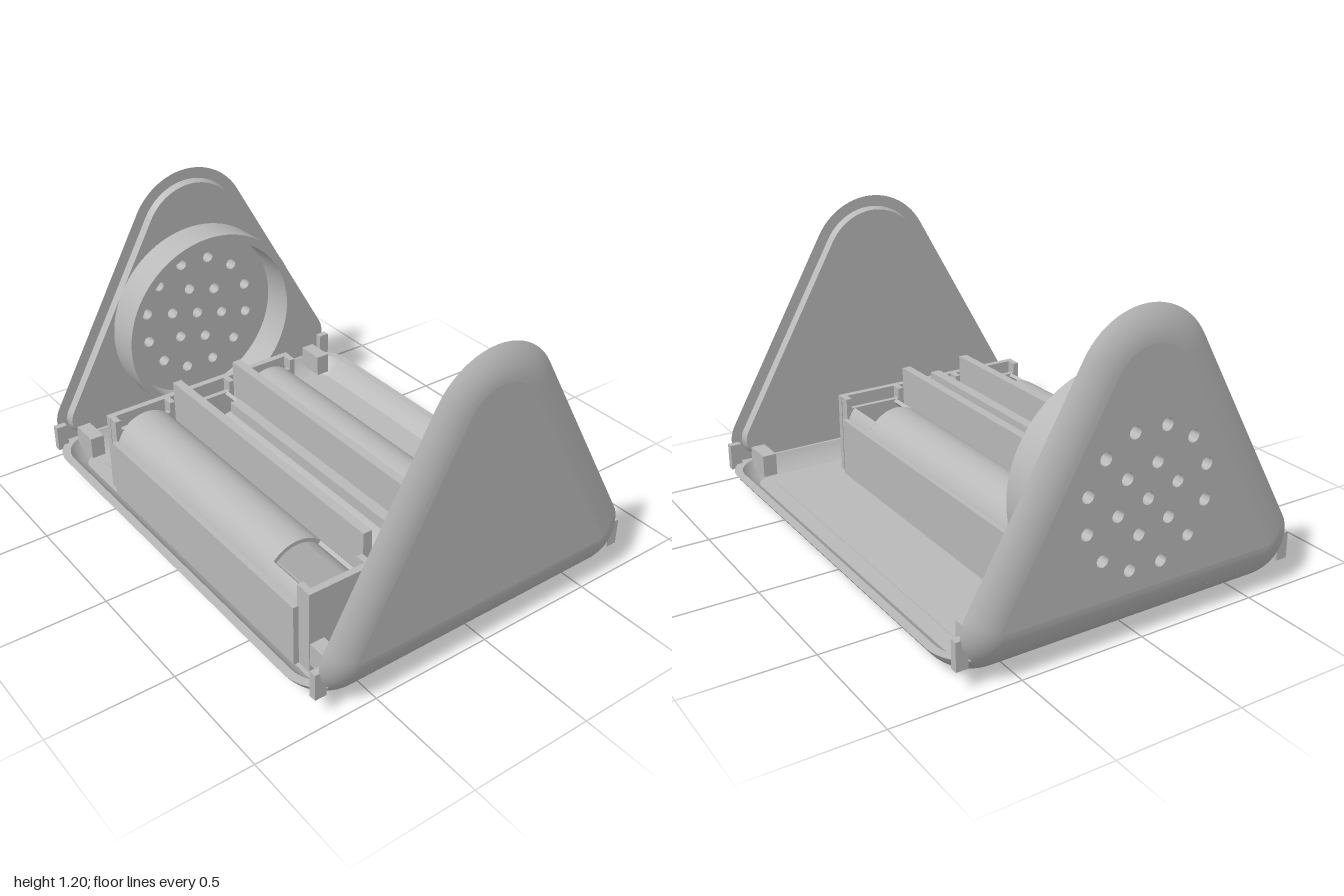
import * as THREE from 'three';
import { toCreasedNormals } from 'three/addons/utils/BufferGeometryUtils.js';

const R = 0.2; // edge rounding of the whole case
const bodyGrey = new THREE.MeshStandardMaterial({ color: 0xb9b9b9, side: THREE.DoubleSide });
bodyGrey.name = 'body grey';

function add(parent, name, geometry) {
  const mesh = new THREE.Mesh(geometry, bodyGrey);
  mesh.name = name;
  parent.add(mesh);
  return mesh;
}

// Box given by its limits on each axis
function block(parent, name, x0, x1, y0, y1, z0, z1) {
  const g = new THREE.BoxGeometry(x1 - x0, y1 - y0, z1 - z0);
  g.translate((x0 + x1) / 2, (y0 + y1) / 2, (z0 + z1) / 2);
  return add(parent, name, g);
}

// Skin over closed rings with equal point counts
function loft(rings) {
  const n = rings[0].length, pos = [], idx = [];
  rings.forEach(r => r.forEach(p => pos.push(...p)));
  for (let i = 0; i < rings.length - 1; i++) {
    for (let j = 0; j < n; j++) {
      const k = (j + 1) % n, a = i * n + j, b = i * n + k;
      idx.push(a, a + n, b, b, a + n, b + n);
    }
  }
  const g = new THREE.BufferGeometry();
  g.setAttribute('position', new THREE.Float32BufferAttribute(pos, 3));
  g.setIndex(idx);
  return toCreasedNormals(g, 0.6);
}

function arc(cx, cy, r, a0, a1, n = 16) {
  return Array.from({ length: n + 1 }, (_, i) => {
    const a = a0 + (a1 - a0) * i / n;
    return [cx + r * Math.cos(a), cy + r * Math.sin(a)];
  });
}

// Rounded triangle of the case, inset by d, as [z, y] points
function triangle(d) {
  const tilt = 0.512, r = R - d;
  return [
    ...arc(0.575, 0.2, r, -Math.PI / 2, tilt),
    ...arc(0, 0.91, 0.353 - d, tilt, Math.PI - tilt, 24),
    ...arc(-0.575, 0.2, r, Math.PI - tilt, Math.PI * 1.5),
  ];
}

// Rounded rectangle of the base, spread by o around the flat floor
function floorRing(o, y) {
  const pts = [];
  [[0.8, 0.575], [-0.8, 0.575], [-0.8, -0.575], [0.8, -0.575]].forEach(([x, z], i) =>
    pts.push(...arc(x, z, o, i * Math.PI / 2, (i + 1) * Math.PI / 2, 10)));
  return pts.map(([x, z]) => [x, y, z]);
}
const spread = y => Math.sqrt(R * R - (R - y) ** 2);

// Extrude a [z, y] shape along x
function extrudeX(shape, x, depth) {
  const g = new THREE.ExtrudeGeometry(shape, { depth, bevelEnabled: false, curveSegments: 16 });
  g.rotateY(Math.PI / 2);
  g.translate(x, 0, 0);
  return toCreasedNormals(g, 0.6);
}

// Triangular end cap at +x, optionally pierced with sound holes
function endCap(name, pierced) {
  const cap = new THREE.Group();
  cap.name = name;
  const inset = 0.19;
  const ring = (d, x) => triangle(d).map(([z, y]) => [x, y, z]);
  const filletX = d => 0.8 + Math.sqrt(R * R - (R - d) ** 2);
  const rings = [ring(inset, 0.92), ring(0.125, 0.92), ring(0.115, 0.95)];
  for (let i = 0; i <= 12; i++) {
    const d = 0.068 + (inset - 0.068) * i / 12;
    rings.push(ring(d, filletX(d)));
  }
  add(cap, 'capShell', loft(rings));

  const face = new THREE.Shape(triangle(inset).map(p => new THREE.Vector2(...p)));
  if (pierced) {
    [[0, 1], [0.13, 6], [0.26, 12]].forEach(([r, n]) => {
      for (let i = 0; i < n; i++) {
        const a = i / n * Math.PI * 2 + 0.26;
        face.holes.push(new THREE.Path().absarc(r * Math.cos(a), 0.53 + r * Math.sin(a), 0.024, 0, Math.PI * 2));
      }
    });
  }
  add(cap, 'capFace', extrudeX(face, 0.92, filletX(inset) - 0.92));

  // Lips gripping the base corners
  for (const s of [-1, 1]) {
    const z = s * 0.7;
    block(cap, 'cornerLip', 0.922, 0.952, 0.08, 0.19, z - 0.024, z + 0.024);
  }
  return cap;
}

// Hollow battery cover arch; half is the angle either side of the top
function archPiece(parent, z, r, x0, x1, from, to) {
  const y = 0.375 - r, t = 0.016;
  const pts = [...arc(-z, y, r, from, to), ...arc(-z, y, r - t, to, from)];
  add(parent, 'batteryArch', extrudeX(new THREE.Shape(pts.map(p => new THREE.Vector2(...p))), x0, x1 - x0));
}

function batteryHolder() {
  const g = new THREE.Group();
  g.name = 'batteryHolder';
  const x0 = -0.55, x1 = 0.725;
  // Long walls and tall spines between the bays
  block(g, 'backWall', x0, x1, 0.01, 0.285, -0.28, -0.26);
  block(g, 'frontWall', x0, x1, 0.02, 0.285, 0.625, 0.65);
  block(g, 'spine', x0, x1, 0.01, 0.465, 0.02, 0.058);
  block(g, 'spine', x0, x1, 0.01, 0.465, 0.312, 0.35);
  block(g, 'middleRib', -0.34, 0.72, 0.36, 0.42, 0.16, 0.205);

  // Three bays, each with a window at one end
  const bays = [[-0.122, 0.14, 1], [0.185, 0.13, -1], [0.488, 0.14, 1]];
  for (const [z, r, end] of bays) {
    const a = end > 0 ? x0 : -0.35, b = end > 0 ? 0.525 : x1;
    const wa = end > 0 ? b : x0, wb = end > 0 ? x1 : a;
    archPiece(g, z, r, a, b, 0, Math.PI);
    archPiece(g, z, r, wa, wb, 0, 0.75);
    archPiece(g, z, r, wa, wb, Math.PI - 0.75, Math.PI);
  }

  // Slotted end walls holding the contacts
  for (const [outer, s] of [[-0.62, 1], [0.79, -1]]) {
    const slab = (name, p, q, y0, y1, z0, z1) => {
      const u = outer + s * p, v = outer + s * q;
      block(g, name, Math.min(u, v), Math.max(u, v), y0, y1, z0, z1);
    };
    slab('endWall', 0, 0.028, 0.01, 0.375, -0.265, 0.63);
    for (const [z, r] of bays) {
      slab('contactWall', 0.05, 0.072, 0.01, 0.33, z - r, z + r);
      slab('contactGuide', 0.02, 0.072, 0.01, 0.375, z - r, z - r + 0.025);
      slab('contactGuide', 0.02, 0.072, 0.01, 0.375, z + r - 0.025, z + r);
    }
  }
  return g;
}

function base() {
  const g = new THREE.Group();
  g.name = 'base';
  // Rounded tray edge: outside, rim, then inside
  const rings = [floorRing(0.002, 0)];
  for (let i = 1; i <= 10; i++) {
    const y = 0.1 * (i / 10) ** 2;
    rings.push(floorRing(spread(y), y));
  }
  for (let i = 0; i <= 6; i++) {
    const y = 0.1 - 0.07 * i / 6;
    rings.push(floorRing(spread(y) - 0.035, y));
  }
  rings.push(floorRing(0.002, 0.03));
  add(g, 'trayEdge', loft(rings));

  // Flat floor with the battery opening
  const rect = (S, x0, x1, z0, z1) => new S([[x0, z0], [x1, z0], [x1, z1], [x0, z1]].map(p => new THREE.Vector2(...p)));
  const floor = rect(THREE.Shape, -0.8, 0.8, -0.575, 0.575);
  floor.holes.push(rect(THREE.Path, -0.595, 0.765, -0.262, 0.572));
  const fg = new THREE.ExtrudeGeometry(floor, { depth: 0.03, bevelEnabled: false });
  fg.rotateX(Math.PI / 2);
  fg.translate(0, 0.03, 0);
  add(g, 'floor', fg);

  // Corner blocks and the latch block
  for (const sx of [-1, 1]) for (const sz of [-1, 1]) {
    const x = sx * 0.86, z = sz * 0.6;
    block(g, 'cornerBlock', x - 0.065, x + 0.065, 0.07, 0.165, z - 0.03, z + 0.03);
  }
  block(g, 'latchBlock', 0.785, 0.925, 0.165, 0.215, 0.09, 0.275);
  return g;
}

export function createModel() {
  const model = new THREE.Group();
  model.name = 'speakerCase';
  model.add(base(), batteryHolder(), endCap('leftCap', false));

  const speakerCap = endCap('rightCap', true);
  speakerCap.rotation.y = Math.PI;
  model.add(speakerCap);

  // Round speaker collar inside the pierced cap
  const collar = new THREE.Shape().absarc(0, 0.53, 0.415, 0, Math.PI * 2);
  collar.holes.push(new THREE.Path().absarc(0, 0.53, 0.38, 0, Math.PI * 2));
  const cg = new THREE.ExtrudeGeometry(collar, { depth: 0.155, bevelEnabled: false, curveSegments: 48 });
  cg.rotateY(Math.PI / 2);
  cg.translate(-0.925, 0, 0);
  add(model, 'speakerCollar', toCreasedNormals(cg, 0.6));
  return model;
}
